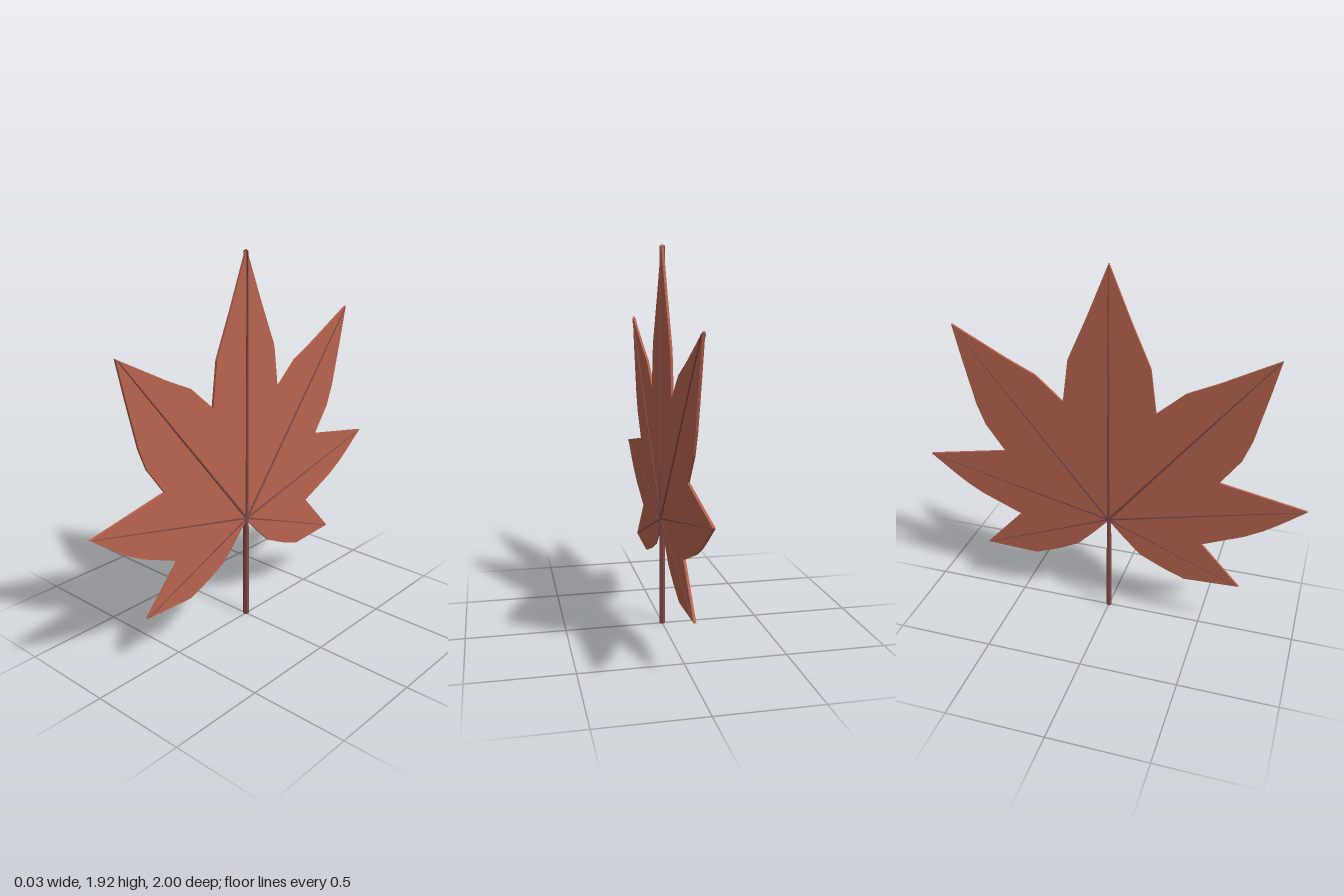
import * as THREE from 'three';

const BLADE = new THREE.MeshStandardMaterial({ color: 0xb8644f, flatShading: true });
const VEIN = new THREE.MeshStandardMaterial({ color: 0x804a48, flatShading: true });
const THICKNESS = 0.012;
const HUB = [0, 0.56];

// Half of the leaf edge as [z, y], from the top tip down to the hub
const EDGE = [
  [0, 1.92], [0.107, 1.66], [0.207, 1.433], [0.237, 1.205],
  [0.38, 1.33], [0.53, 1.40], [0.81, 1.547],
  [0.77, 1.375], [0.708, 1.128], [0.665, 1.018], [0.563, 0.878],
  [0.998, 0.793], [0.87, 0.695], [0.798, 0.645], [0.708, 0.594], [0.494, 0.504],
  [0.70, 0.28], [0.413, 0.268], [0.29, 0.316], [0.172, 0.374], [0.086, 0.46], [0.012, 0.54],
];

// Six-sided rib of constant depth in x whose width tapers from start to end ([z, y])
function rib(name, start, end, depth, startWidth, endWidth) {
  const dz = end[0] - start[0], dy = end[1] - start[1];
  const length = Math.hypot(dz, dy);
  const geometry = new THREE.CylinderGeometry(1, 1, length, 6);
  const p = geometry.attributes.position;
  for (let i = 0; i < p.count; i++) {
    const t = p.getY(i) / length + 0.5;
    p.setX(i, p.getX(i) * depth / 2 / 0.866);
    p.setZ(i, p.getZ(i) * THREE.MathUtils.lerp(startWidth, endWidth, t) / 2);
  }
  geometry.computeVertexNormals();
  const mesh = new THREE.Mesh(geometry, VEIN);
  mesh.name = name;
  mesh.position.set(0, (start[1] + end[1]) / 2, (start[0] + end[0]) / 2);
  mesh.rotation.x = Math.atan2(dz, dy);
  return mesh;
}

export function createModel() {
  const leaf = new THREE.Group();
  leaf.name = 'leaf';

  // Flat blade, extruded and turned into the yz plane
  const mirrored = EDGE.slice(1).reverse().map(([z, y]) => [-z, y]);
  const outline = [...EDGE, ...mirrored].map(([z, y]) => new THREE.Vector2(z, y));
  const bladeGeometry = new THREE.ExtrudeGeometry(new THREE.Shape(outline), {
    depth: THICKNESS, bevelEnabled: false,
  });
  bladeGeometry.translate(0, 0, -THICKNESS / 2).rotateY(-Math.PI / 2);
  const blade = new THREE.Mesh(bladeGeometry, BLADE);
  blade.name = 'blade';
  leaf.add(blade);

  // Stem and the midrib that continues it
  leaf.add(rib('stem', [0, 0], HUB, 0.028, 0.028, 0.024));
  leaf.add(rib('midrib', HUB, [0, 1.915], 0.028, 0.024, 0.004));

  // Side veins to each lobe tip
  const lobes = [
    ['upperVein', [0.80, 1.537], 0.022, 0.02],
    ['middleVein', [0.985, 0.79], 0.018, 0.018],
    ['lowerVein', [0.685, 0.285], 0.018, 0.014],
  ];
  for (const side of [1, -1]) {
    for (const [name, [z, y], depth, width] of lobes) {
      leaf.add(rib(name, HUB, [side * z, y], depth, width, 0.004));
    }
  }
  return leaf;
}
